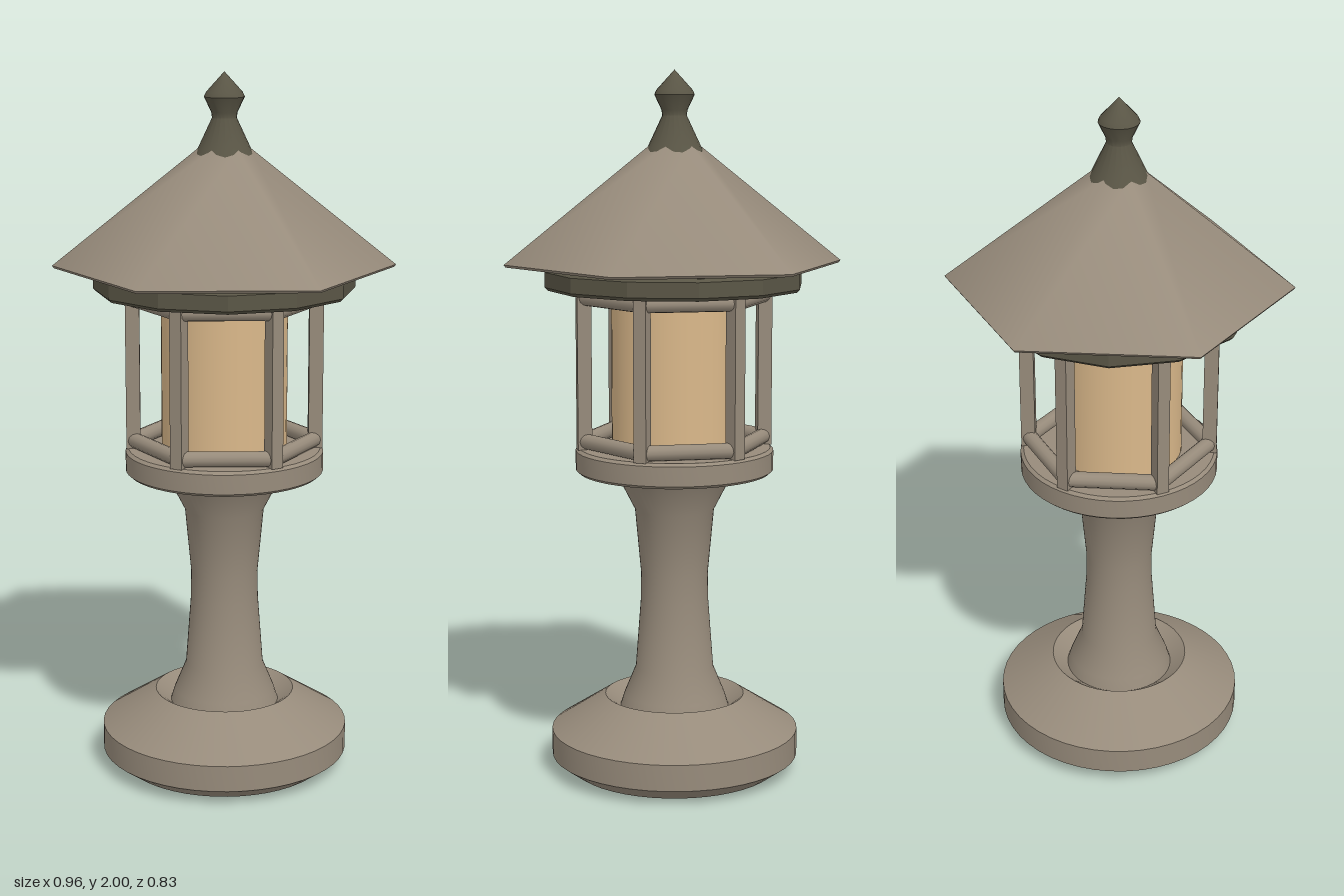
import * as THREE from 'three';
import { toCreasedNormals } from 'three/addons/utils/BufferGeometryUtils.js';

const stone = new THREE.MeshStandardMaterial({ color: 0x978b7b });
stone.name = 'stone';
const darkMetal = new THREE.MeshStandardMaterial({ color: 0x5a5646 });
darkMetal.name = 'darkMetal';
const lampGlass = new THREE.MeshStandardMaterial({ color: 0xdab88a });
lampGlass.name = 'lampGlass';

function part(name, geometry, material, y = 0) {
  const mesh = new THREE.Mesh(geometry, material);
  mesh.name = name;
  mesh.position.y = y;
  return mesh;
}

// Turned part from [radius, height] pairs, listed bottom to top
function turned(name, profile, material, sides = 48, crease = 0.45) {
  const points = profile.map(([r, y]) => new THREE.Vector2(r, y));
  const geometry = toCreasedNormals(new THREE.LatheGeometry(points, sides), crease);
  return part(name, geometry, material);
}

export function createModel() {
  const model = new THREE.Group();
  model.name = 'gardenLantern';

  // Round foot with a shallow recess around the column
  model.add(turned('base', [
    [0, 0], [0.3, 0.005], [0.355, 0.045], [0.355, 0.12],
    [0.2, 0.22], [0.15, 0.18], [0, 0.18],
  ], stone));

  // Waisted column
  model.add(turned('column', [
    [0, 0.18], [0.156, 0.185], [0.145, 0.22], [0.112, 0.3], [0.097, 0.5],
    [0.096, 0.58], [0.113, 0.765], [0.158, 0.853], [0, 0.853],
  ], stone));

  // Platform with softened rims
  model.add(turned('platform', [
    [0, 0.875], [0.272, 0.875], [0.281, 0.883], [0.281, 0.938], [0.272, 0.946], [0, 0.946],
  ], stone));

  // Lamp body
  model.add(part('lamp', new THREE.CylinderGeometry(0.178, 0.178, 0.455, 48), lampGlass, 1.17));

  // Hexagonal cage: six posts joined by round rails
  const cage = new THREE.Group();
  cage.name = 'cage';
  const ringRadius = 0.258;
  const postGeometry = new THREE.BoxGeometry(0.04, 0.455, 0.036);
  const railGeometry = new THREE.CylinderGeometry(0.022, 0.022, ringRadius, 12);
  railGeometry.rotateX(Math.PI / 2);
  for (let i = 0; i < 6; i++) {
    const side = new THREE.Group();
    side.name = 'cageSide';
    side.rotation.y = i * Math.PI / 3;
    const post = part('post', postGeometry, stone, 1.172);
    post.position.x = ringRadius;
    side.add(post);
    for (const y of [0.968, 1.374]) {
      const rail = part('rail', railGeometry, stone, y);
      const apothem = ringRadius * Math.cos(Math.PI / 6);
      rail.position.x = apothem * Math.cos(Math.PI / 6);
      rail.position.z = -apothem * Math.sin(Math.PI / 6);
      rail.rotation.y = Math.PI / 6;
      side.add(rail);
    }
    cage.add(side);
  }
  model.add(cage);

  // Dark twelve-sided plate under the roof
  model.add(turned('roofPlate', [
    [0, 1.395], [0.357, 1.395], [0.366, 1.404], [0.366, 1.446], [0.357, 1.455], [0, 1.455],
  ], darkMetal, 12));

  // Six-sided roof with a thin eave, corners on the x axis
  const roof = new THREE.Group();
  roof.name = 'roof';
  roof.add(part('roofSlope', new THREE.CylinderGeometry(0.07, 0.479, 0.326, 6), stone, 1.631));
  roof.add(part('eave', new THREE.CylinderGeometry(0.479, 0.474, 0.007, 6), stone, 1.4645));
  roof.rotation.y = Math.PI / 6;
  model.add(roof);

  // Pointed finial
  model.add(turned('finial', [
    [0, 1.76], [0.086, 1.765], [0.074, 1.79], [0.034, 1.875], [0.036, 1.89],
    [0.056, 1.932], [0.05, 1.945], [0, 2],
  ], darkMetal, 20, 0.6));

  return model;
}
